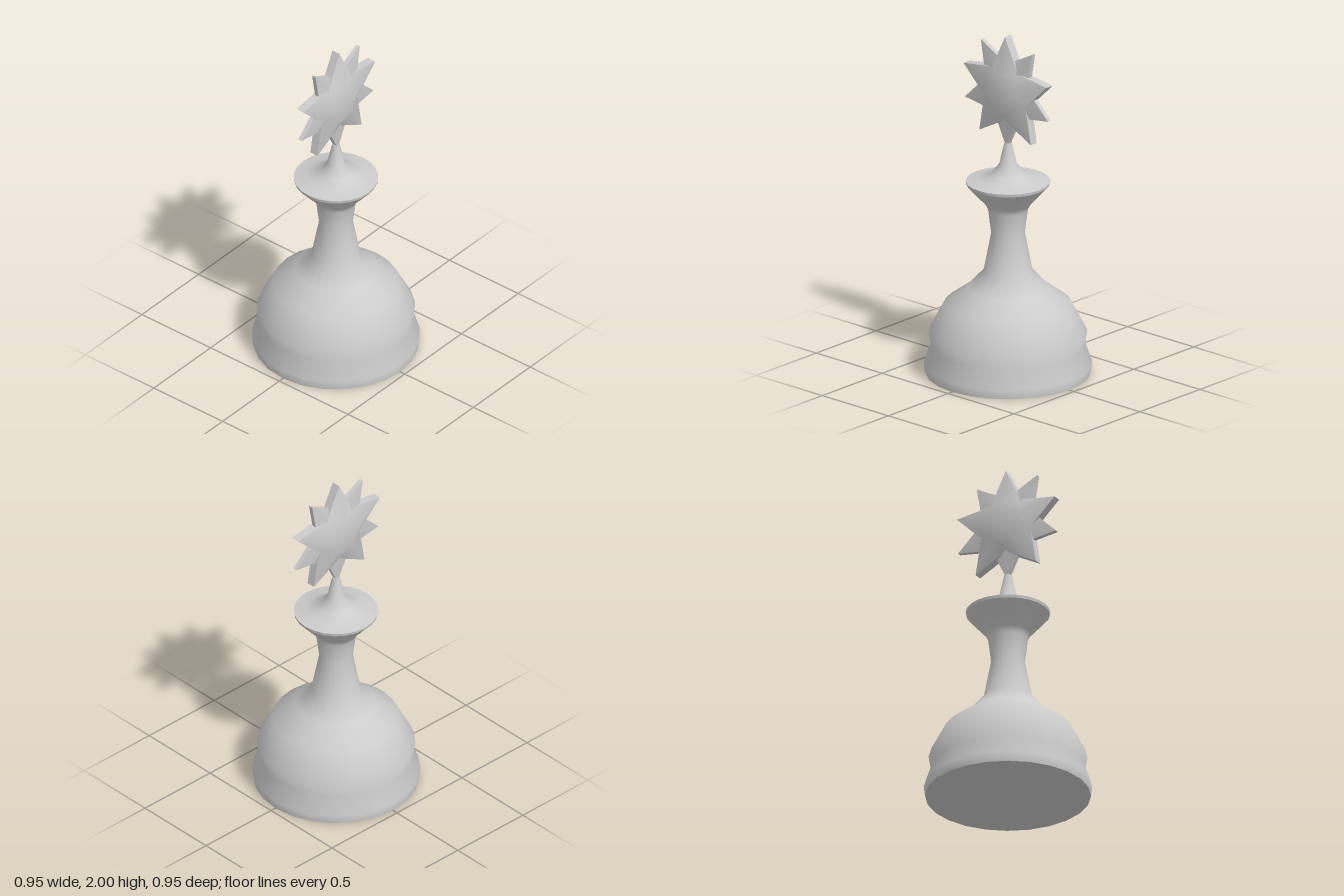
import * as THREE from 'three';

const material = new THREE.MeshStandardMaterial({ color: 0xcccccc });

// Turned part from a [radius, height] profile, listed bottom to top
function turned(name, profile) {
  const points = profile.map(([r, y]) => new THREE.Vector2(r, y));
  const mesh = new THREE.Mesh(new THREE.LatheGeometry(points, 24), material);
  mesh.name = name;
  return mesh;
}

// Five-pointed star, raised to a flat pentagon on both sides, with a flat rim
function starGeometry(outer, notch, plateau, rimZ, topZ) {
  const positions = [], indices = [];
  const add = (r, step, z) => {
    const a = Math.PI / 2 + step * Math.PI / 5;
    positions.push(r * Math.cos(a), r * Math.sin(a), z);
    return positions.length / 3 - 1;
  };
  for (const side of [1, -1]) {
    const tri = (a, b, c) => indices.push(...(side > 0 ? [a, b, c] : [a, c, b]));
    const centre = add(0, 0, side * topZ);
    const ring = [], inner = [];
    for (let i = 0; i < 10; i++) ring.push(add(i % 2 ? notch : outer, i, side * rimZ));
    for (let i = 0; i < 5; i++) inner.push(add(plateau, i * 2, side * topZ));
    for (let i = 0; i < 5; i++) {
      const j = (i + 1) % 5;
      const tip = ring[2 * i], dip = ring[2 * i + 1], nextTip = ring[2 * j];
      tri(centre, inner[i], inner[j]);
      tri(inner[i], tip, dip);
      tri(inner[i], dip, inner[j]);
      tri(inner[j], dip, nextTip);
    }
  }
  // rim, with its own vertices so that its edges stay sharp
  for (let i = 0; i < 10; i++) {
    const r0 = i % 2 ? notch : outer, r1 = i % 2 ? outer : notch;
    const a = add(r0, i, rimZ), b = add(r0, i, -rimZ);
    const c = add(r1, i + 1, -rimZ), d = add(r1, i + 1, rimZ);
    indices.push(a, b, c, a, c, d);
  }
  const geometry = new THREE.BufferGeometry();
  geometry.setAttribute('position', new THREE.Float32BufferAttribute(positions, 3));
  geometry.setIndex(indices);
  geometry.computeVertexNormals();
  return geometry;
}

export function createModel() {
  const model = new THREE.Group();
  model.name = 'starPiece';

  // turned body: underside, bell and neck, collar edge, spire
  model.add(
    turned('underside', [[0, 0], [0.466, 0]]),
    turned('body', [
      [0.466, 0], [0.473, 0.055], [0.434, 0.165], [0.446, 0.24], [0.357, 0.41],
      [0.228, 0.505], [0.138, 0.605], [0.095, 0.83], [0.112, 0.965], [0.127, 1.0],
      [0.235, 1.12],
    ]),
    turned('collarEdge', [[0.235, 1.12], [0.238, 1.137]]),
    turned('spire', [
      [0.238, 1.137], [0.16, 1.15], [0.1, 1.18], [0.05, 1.237], [0.021, 1.363],
    ]),
    turned('spireTip', [[0.021, 1.363], [0, 1.363]]),
  );

  // thick upright star crossed by a thinner inverted one
  const geometry = starGeometry(0.331, 0.165, 0.11, 0.026, 0.072);
  const upright = new THREE.Mesh(geometry, material);
  upright.name = 'uprightStar';
  const inverted = new THREE.Mesh(geometry, material);
  inverted.name = 'invertedStar';
  inverted.rotation.z = Math.PI;
  inverted.scale.z = 0.5;
  const star = new THREE.Group();
  star.name = 'starFinial';
  star.position.y = 1.669;
  star.add(upright, inverted);
  model.add(star);

  return model;
}
